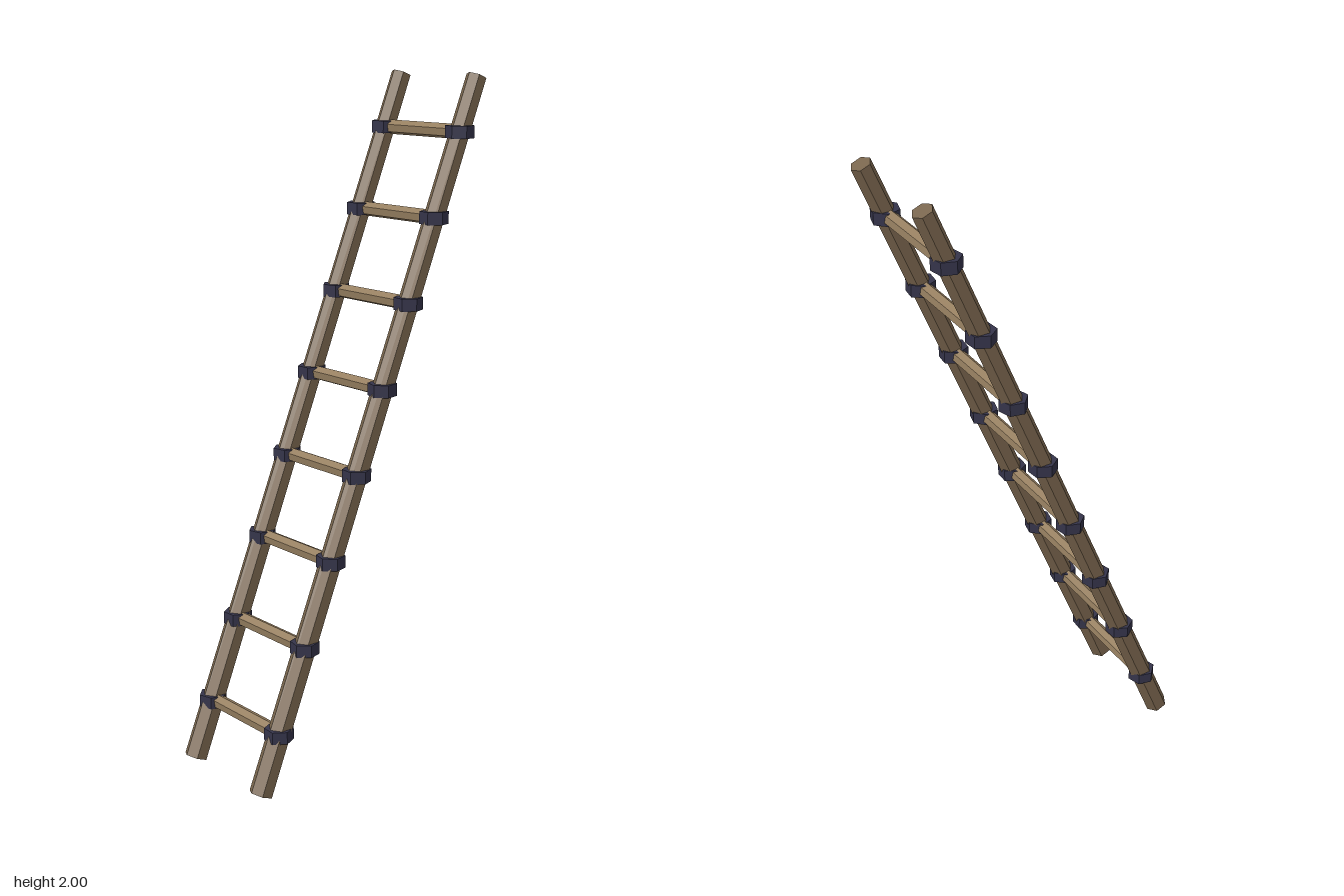
import * as THREE from 'three';

const material = (color) => new THREE.MeshStandardMaterial({ color, flatShading: true });

export function createModel() {
  const group = new THREE.Group();
  const railMat = material(0x7a664e);
  const rungMat = material(0x967f60);
  const bindingMat = material(0x35344a);

  // Axis of the leaning rails
  const foot = new THREE.Vector3(0, 0.013, 0.395);
  const head = new THREE.Vector3(0, 1.989, -0.4);
  const length = foot.distanceTo(head);
  const lean = Math.atan2(head.z - foot.z, head.y - foot.y);
  const railX = 0.16;

  const add = (name, geometry, mat, x, y, z) => {
    const mesh = new THREE.Mesh(geometry, mat);
    mesh.name = name;
    mesh.position.set(x, y, z);
    group.add(mesh);
    return mesh;
  };

  // Two tapered six-sided rails
  const railGeo = new THREE.CylinderGeometry(0.03, 0.035, length, 6);
  const mid = foot.clone().lerp(head, 0.5);
  for (const side of [1, -1]) {
    const rail = add(side > 0 ? 'leftRail' : 'rightRail', railGeo, railMat, side * railX, mid.y, mid.z);
    rail.rotation.x = lean;
  }

  // Rungs, each lashed to both rails with a level binding
  const rungGeo = new THREE.CylinderGeometry(0.0215, 0.0215, 2 * railX, 6).rotateZ(Math.PI / 2);
  const bindingGeo = new THREE.CylinderGeometry(0.042, 0.042, 0.036, 6);
  for (let i = 0; i < 8; i++) {
    const y = 0.18 + i * 0.2364;
    const z = THREE.MathUtils.mapLinear(y, foot.y, head.y, foot.z, head.z);
    const rung = add(`rung${i + 1}`, rungGeo, rungMat, 0, y, z);
    rung.rotation.x = lean;
    for (const side of [1, -1]) {
      const binding = add(side > 0 ? 'leftBinding' : 'rightBinding', bindingGeo, bindingMat, side * railX, y, z);
      binding.rotation.y = side * (0.35 + 0.12 * Math.sin(i * 2.4 + side));
    }
  }
  return group;
}
